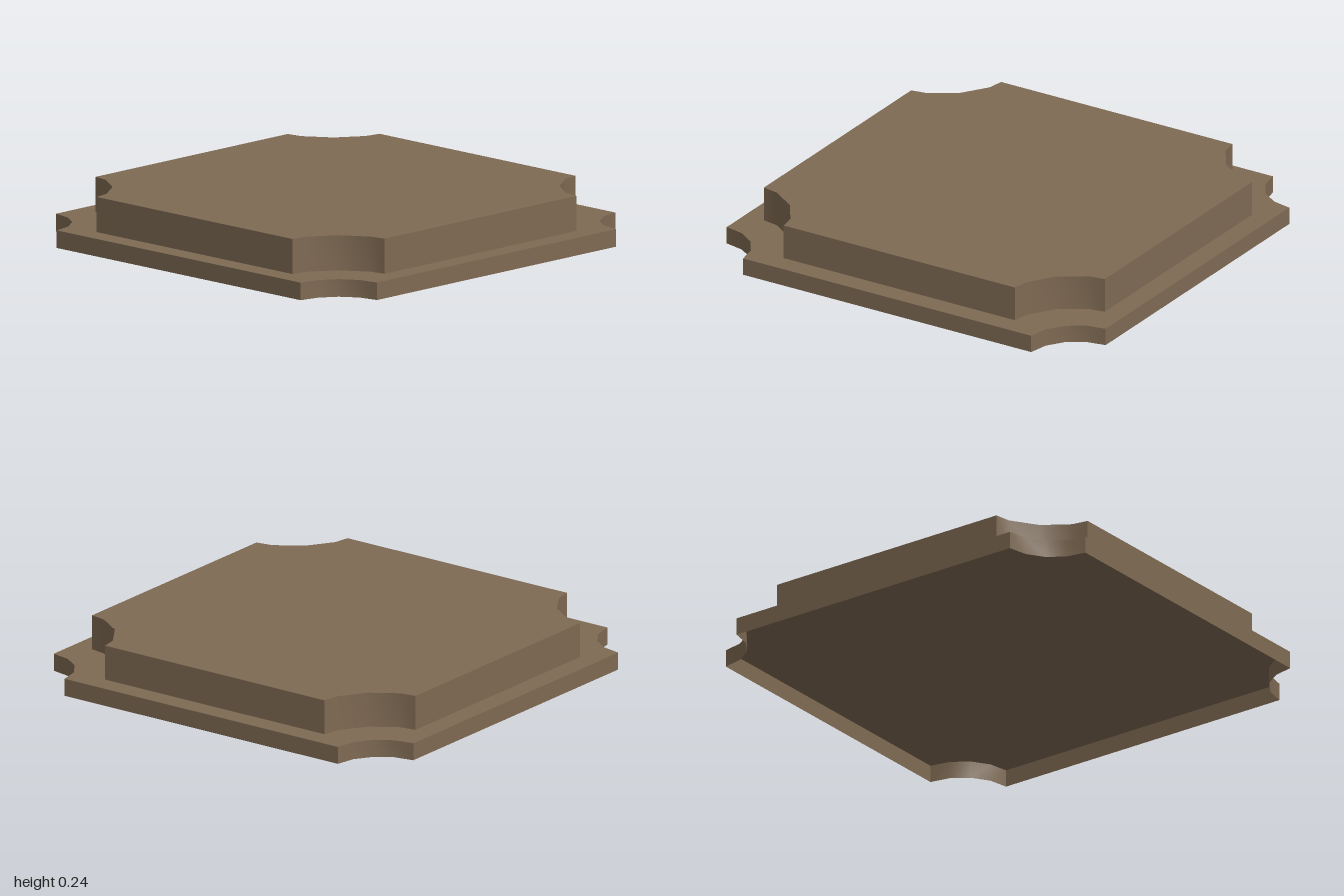
import * as THREE from 'three';
import { toCreasedNormals } from 'three/addons/utils/BufferGeometryUtils.js';

// Hollow shells open underneath, so their inner faces show too
const material = new THREE.MeshStandardMaterial({ color: 0x7f6a53, side: THREE.DoubleSide });

// Square lid (top and walls, no floor) with the same concave notch at all four corners
function notchedLid(name, notch, bottom, height) {
  const outline = [];
  for (let i = 0; i < 4; i++) {
    const turn = i * Math.PI / 2;
    for (const [x, y] of notch) {
      outline.push(new THREE.Vector2(x, y).rotateAround(new THREE.Vector2(), turn));
    }
  }
  const extruded = new THREE.ExtrudeGeometry(new THREE.Shape(outline), {
    depth: height, bevelEnabled: false,
  });
  extruded.rotateX(-Math.PI / 2);

  // The first half of the cap faces is the floor: leave it out
  const floorCount = extruded.groups[0].count / 2;
  const shell = new THREE.BufferGeometry();
  shell.setAttribute('position', new THREE.BufferAttribute(
    extruded.attributes.position.array.slice(floorCount * 3), 3));

  // Smooth notch walls, sharp rims
  const mesh = new THREE.Mesh(toCreasedNormals(shell, 0.6), material);
  mesh.name = name;
  mesh.position.y = bottom;
  return mesh;
}

export function createModel() {
  const group = new THREE.Group();
  group.name = 'notchedPlinth';

  // Base notch: quarter circle around the missing corner, in four facets
  const baseNotch = [];
  for (let i = 0; i <= 4; i++) {
    const a = i * Math.PI / 8;
    baseNotch.push([1 - 0.24 * Math.sin(a), 1 - 0.24 * Math.cos(a)]);
  }

  // Upper notch: wider scoop with short ends
  const upperNotch = [[0.9, 0.61], [0.824, 0.623], [0.703, 0.703], [0.623, 0.824], [0.61, 0.9]];

  group.add(
    notchedLid('basePlate', baseNotch, 0, 0.08),
    notchedLid('upperSlab', upperNotch, 0.08, 0.16),
  );
  return group;
}
